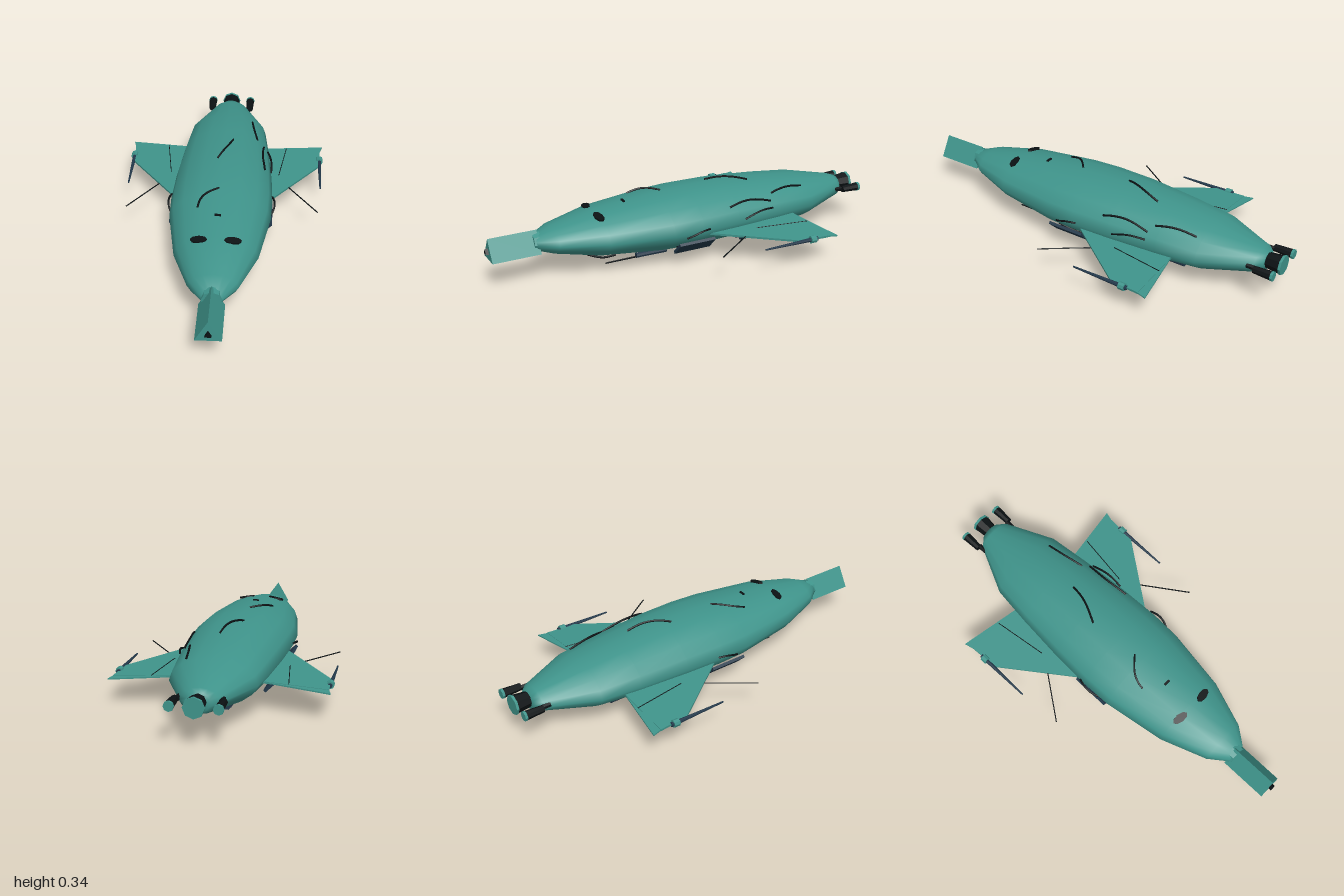
import * as THREE from 'three';

const mat = (color, flatShading = true) => new THREE.MeshStandardMaterial({ color, flatShading });
const TEAL = mat(0x3f948b), BLUE = mat(0x22384a), BLACK = mat(0x0b1113);
const HULL = mat(0x3f948b, false), HOSE = mat(0x0b1113, false);

// Hull stations: z, half width, bottom, top
const stations = [
  [-0.92, 0.055, 0.135, 0.225], [-0.89, 0.09, 0.12, 0.235], [-0.65, 0.2, 0.067, 0.285],
  [-0.45, 0.222, 0.047, 0.307], [-0.2, 0.242, 0.035, 0.325], [0, 0.25, 0.034, 0.325],
  [0.15, 0.245, 0.038, 0.318], [0.46, 0.195, 0.07, 0.292], [0.68, 0.115, 0.118, 0.25],
  [0.765, 0.05, 0.145, 0.22],
];

// Point on one hull station at angle a (0 = left side, PI/2 = top)
function ringPoint([z, w, bottom, top], a) {
  const mid = bottom + (top - bottom) * 0.49, s = Math.sin(a), c = Math.cos(a);
  const y = s > 0 ? mid + (top - mid) * s : mid + (mid - bottom) * s;
  const pinch = s < 0 ? 1 - 0.12 * Math.sin(2 * a) ** 2 : 1;
  return new THREE.Vector3(w * c * pinch, y, z);
}

// Point on the hull at any z, lifted a little off the skin
function onHull(z, a, lift = 0) {
  let i = 0;
  while (i < stations.length - 2 && stations[i + 1][0] < z) i++;
  const t = (z - stations[i][0]) / (stations[i + 1][0] - stations[i][0]);
  const p = ringPoint(stations[i], a).lerp(ringPoint(stations[i + 1], a), t);
  return p.add(new THREE.Vector3(Math.cos(a) * lift, Math.sin(a) * lift, 0));
}

function hullGeometry(sides = 16) {
  const pos = [], idx = [], n = stations.length;
  stations.forEach((s) => {
    for (let j = 0; j < sides; j++) pos.push(...ringPoint(s, (j / sides) * Math.PI * 2).toArray());
  });
  for (let i = 0; i < n - 1; i++) for (let j = 0; j < sides; j++) {
    const k = (j + 1) % sides, a = i * sides + j, b = i * sides + k;
    idx.push(a, b, a + sides, b, b + sides, a + sides);
  }
  for (let j = 1; j < sides - 1; j++) {
    const e = (n - 1) * sides;
    idx.push(0, j + 1, j, e, e + j, e + j + 1);
  }
  const g = new THREE.BufferGeometry();
  g.setAttribute('position', new THREE.Float32BufferAttribute(pos, 3));
  g.setIndex(idx);
  g.computeVertexNormals();
  return g;
}

export function createModel() {
  const model = new THREE.Group();
  model.name = 'spacecraft';

  const add = (name, geometry, material, x = 0, y = 0, z = 0) => {
    const m = new THREE.Mesh(geometry, material);
    m.name = name;
    m.position.set(x, y, z);
    model.add(m);
    return m;
  };
  // Cylinder or prism lying along z from z0 (back) to z1 (front)
  const rod = (name, material, x, y, z0, z1, rBack, rFront, sides = 8) => {
    const g = new THREE.CylinderGeometry(rBack, rFront, z1 - z0, sides).rotateX(-Math.PI / 2);
    return add(name, g, material, x, y, (z0 + z1) / 2);
  };
  const tube = (name, points, r, material = HOSE) =>
    add(name, new THREE.TubeGeometry(new THREE.CatmullRomCurve3(points), 14, r, 6), material);
  // Hose hugging the hull from (z0, a0) to (z1, a1), bulging in the middle
  const hose = (z0, a0, z1, a1, bulge = 0.012, sway = 0.06) => {
    const pts = [];
    for (let i = 0; i <= 6; i++) {
      const t = i / 6, s = Math.sin(t * Math.PI);
      pts.push(onHull(z0 + (z1 - z0) * t, a0 + (a1 - a0) * t + s * sway, s * bulge));
    }
    tube('hose', pts, 0.005);
  };

  add('hull', hullGeometry(), HULL);

  // Nose: collar, triangular barrel and dark muzzle
  rod('noseCollar', TEAL, 0, 0.183, 0.74, 0.775, 0.05, 0.046);
  rod('noseBarrel', TEAL, 0, 0.175, 0.75, 0.985, 0.068, 0.068, 3);
  rod('noseMuzzle', BLACK, 0, 0.18, 0.97, 1.0, 0.017, 0.017, 3);

  // Engines at the tail
  const engine = (x, r, z1) => {
    rod('engineNozzle', BLACK, x, 0.183, -0.99, z1, r, r * 0.78);
    rod('engineRim', TEAL, x, 0.183, -1.0, -0.988, r * 1.06, r * 1.06);
  };
  engine(0, 0.045, -0.9);
  for (const s of [-1, 1]) {
    engine(s * 0.105, 0.022, -0.9);
    rod('engineStrut', BLACK, s * 0.095, 0.183, -0.905, -0.86, 0.012, 0.012, 6);
  }

  for (const s of [-1, 1]) {
    // Wing with a trailing flap, drooping slightly to the tip
    const plate = (name, outline, depth, y) => {
      const shape = new THREE.Shape(outline.map(([x, z]) => new THREE.Vector2(s * x, -z)));
      const g = new THREE.ExtrudeGeometry(shape, { depth, bevelEnabled: false }).rotateX(-Math.PI / 2);
      g.translate(0, -depth / 2, 0);
      add(name, g, TEAL, 0, y, 0).rotation.z = -s * 0.05;
    };
    plate('wing', [[0.18, 0.03], [0.485, -0.39], [0.495, -0.54], [0.18, -0.53]], 0.01, 0.161);
    plate('wingFlap', [[0.2, -0.53], [0.494, -0.538], [0.507, -0.585]], 0.006, 0.161);
    tube('wingSeam', [new THREE.Vector3(s * 0.315, 0.151, -0.54), new THREE.Vector3(s * 0.277, 0.153, -0.27)], 0.002);

    // Wingtip gun held in a ring
    rod('wingtipGun', BLUE, s * 0.49, 0.137, -0.48, -0.19, 0.011, 0.004);
    rod('wingtipRing', TEAL, s * 0.49, 0.137, -0.47, -0.44, 0.018, 0.018);

    // Aerial from the leading edge
    tube('aerial', [new THREE.Vector3(s * 0.32, 0.146, -0.19), new THREE.Vector3(s * 0.475, 0.14, 0.03)], 0.003);

    // Slanted side panels
    for (const z of [0.035, -0.325]) {
      const panel = add('sidePanel', new THREE.BoxGeometry(0.014, 0.088, 0.19), BLUE, s * 0.215, 0.1, z);
      panel.rotation.z = -s * 0.8;
    }

    // Belly guns
    rod('bellyGunBody', BLUE, s * 0.073, 0.042, 0.12, 0.28, 0.015, 0.013);
    rod('bellyGunBarrel', BLACK, s * 0.073, 0.035, 0.27, 0.44, 0.005, 0.004, 6);

    // Dark viewports on top of the nose
    const port = add('viewport', new THREE.CylinderGeometry(0.04, 0.04, 0.01, 8), BLACK, s * 0.078, 0.281, 0.47);
    port.scale.z = 0.5;
    port.rotation.set(0.18, s * 0.12, -s * 0.18);

    // Short hose along each flank
    hose(-0.03, s > 0 ? 0.05 : Math.PI - 0.05, 0.09, s > 0 ? -0.15 : Math.PI + 0.15, 0.012, s * 0.08);
  }

  // Belly pod with chamfered lower edges
  const pod = new THREE.Shape([[-0.05, 0.05], [-0.05, 0.016], [-0.036, 0.002], [0.036, 0.002], [0.05, 0.016], [0.05, 0.05]]
    .map(([x, y]) => new THREE.Vector2(x, y)));
  add('bellyPod', new THREE.ExtrudeGeometry(pod, { depth: 0.21, bevelEnabled: false }), BLUE, 0, 0, -0.51);

  // Hoses over the back, flank and belly
  hose(-0.355, 1.4, -0.15, 1.7, 0.016, -0.04);
  hose(0.105, 1.6, 0.245, 2.02, 0.01, 0.08);
  hose(-0.62, 0.88, -0.42, 0.76, 0.008);
  hose(-0.4, 0.52, -0.16, 0.55, 0.008, 0.12);
  hose(-0.4, 0.28, -0.23, 0.1, 0.012, 0.08);
  hose(0.4, -0.95, 0.52, -1.3, 0.008);
  hose(0.42, -1.8, 0.52, -1.4, 0.008);
  hose(-0.16, -2.5, 0.1, -2.2, 0.01, 0.3);
  hose(-0.05, -0.9, 0.12, -0.6, 0.01, -0.1);
  add('topStud', new THREE.BoxGeometry(0.03, 0.008, 0.01), BLACK, 0, 0.306, 0.31);

  return model;
}
